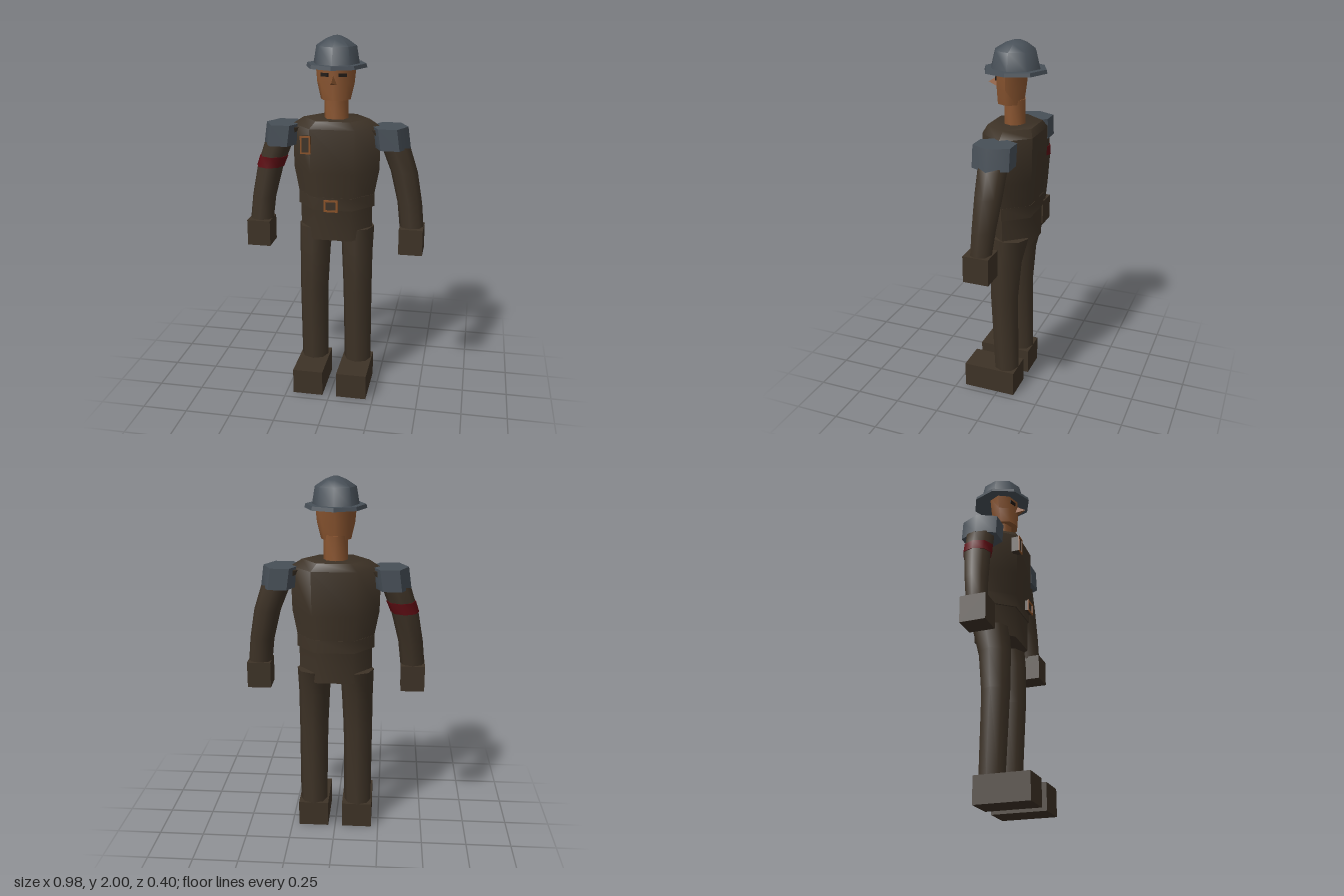
import * as THREE from 'three';
import { toCreasedNormals } from 'three/addons/utils/BufferGeometryUtils.js';

const paint = (name, color) => {
  const m = new THREE.MeshStandardMaterial({ color });
  m.name = name;
  return m;
};

// Capped body through horizontal rings [x, y, z, radiusX, radiusZ], listed bottom to top
function loft(rings, sides, crease = 0.95) {
  const pos = [], idx = [];
  rings.forEach(([x, y, z, rx, rz]) => {
    for (let i = 0; i < sides; i++) {
      const a = (i / sides) * Math.PI * 2;
      pos.push(x + rx * Math.cos(a), y, z + rz * Math.sin(a));
    }
  });
  const last = (rings.length - 1) * sides;
  for (let r = 0; r < last; r += sides) {
    for (let i = 0; i < sides; i++) {
      const j = (i + 1) % sides;
      idx.push(r + i, r + sides + i, r + sides + j, r + i, r + sides + j, r + j);
    }
  }
  for (let i = 1; i < sides - 1; i++) {
    idx.push(0, i, i + 1, last, last + i + 1, last + i);
  }
  const g = new THREE.BufferGeometry();
  g.setAttribute('position', new THREE.Float32BufferAttribute(pos, 3));
  g.setIndex(idx);
  return toCreasedNormals(g, crease);
}

// Rectangular frame plate
function frame(w, h, t, depth) {
  const s = new THREE.Shape();
  s.moveTo(-w / 2, -h / 2).lineTo(w / 2, -h / 2).lineTo(w / 2, h / 2).lineTo(-w / 2, h / 2).closePath();
  const a = w / 2 - t, b = h / 2 - t;
  const hole = new THREE.Path();
  hole.moveTo(-a, -b).lineTo(-a, b).lineTo(a, b).lineTo(a, -b).closePath();
  s.holes.push(hole);
  return new THREE.ExtrudeGeometry(s, { depth, bevelEnabled: false });
}

export function createModel() {
  const model = new THREE.Group();
  model.name = 'soldier';
  const cloth = paint('brown cloth', 0x3d3226);
  const steel = paint('blue grey steel', 0x474f57);
  const skin = paint('skin', 0x8a5530);
  const copper = paint('copper', 0x8a5228);
  const red = paint('dark red', 0x5c0c12);
  const dark = paint('dark eye', 0x1e1712);

  const add = (name, geo, mat, x = 0, y = 0, z = 0) => {
    const m = new THREE.Mesh(geo, mat);
    m.name = name;
    m.position.set(x, y, z);
    model.add(m);
    return m;
  };
  const box = (w, h, d) => new THREE.BoxGeometry(w, h, d);

  // Torso and belt
  add('torso', loft([
    [0, 0.91, -0.03, 0.2, 0.137],
    [0, 1.1, -0.03, 0.2, 0.139],
    [0, 1.29, -0.03, 0.236, 0.156],
    [0, 1.53, -0.03, 0.242, 0.16],
    [0, 1.57, -0.03, 0.18, 0.139],
  ], 6, 1.1), cloth);
  add('belt', loft([
    [0, 1.085, -0.03, 0.212, 0.146],
    [0, 1.155, -0.03, 0.212, 0.146],
  ], 6), cloth);

  // Belt buckle and chest pouch, each with a copper rim
  add('buckle', box(0.068, 0.06, 0.018), cloth, 0, 1.123, 0.131);
  add('buckleRim', frame(0.076, 0.066, 0.01, 0.006), copper, 0, 1.123, 0.138);
  add('pouch', box(0.05, 0.09, 0.045), cloth, -0.137, 1.45, 0.112);
  add('pouchRim', frame(0.056, 0.096, 0.009, 0.006), copper, -0.137, 1.45, 0.131);

  // Neck and head
  add('neck', loft([
    [0, 1.55, -0.028, 0.065, 0.058],
    [0, 1.7, -0.028, 0.065, 0.058],
  ], 8), skin);
  add('head', loft([
    [0, 1.675, -0.005, 0.08, 0.072],
    [0, 1.76, -0.01, 0.1, 0.08],
    [0, 1.86, -0.015, 0.11, 0.086],
  ], 8), skin);

  // Pointed nose: a three-sided cone aimed forward
  const nose = new THREE.ConeGeometry(0.032, 0.06, 3).toNonIndexed();
  nose.rotateX(Math.PI / 2);
  nose.rotateZ(Math.PI);
  nose.computeVertexNormals();
  const noseMesh = add('nose', nose, skin, 0, 1.775, 0.09);
  noseMesh.scale.set(0.75, 1.2, 1);
  // Keep the point of the nose triangle up
  noseMesh.geometry.computeBoundingBox();
  const bb = noseMesh.geometry.boundingBox;
  if (bb.max.y < -bb.min.y) noseMesh.rotation.z = Math.PI;

  // Eyes
  for (const s of [-1, 1]) {
    const eye = add('eye', box(0.044, 0.018, 0.008), dark, s * 0.048, 1.808, 0.058);
    eye.rotation.y = s * 0.32;
  }

  // Helmet: brim and faceted dome
  add('helmetBrim', loft([
    [0, 1.84, -0.03, 0.163, 0.172],
    [0, 1.86, -0.03, 0.158, 0.167],
  ], 8, 0.5), steel);
  add('helmetDome', loft([
    [0, 1.855, -0.03, 0.124, 0.136],
    [0, 1.95, -0.03, 0.108, 0.112],
    [0, 1.985, -0.036, 0.055, 0.06],
    [0, 2.0, -0.04, 0.018, 0.02],
  ], 8), steel);

  // Limbs, mirrored
  for (const s of [-1, 1]) {
    const side = s > 0 ? 'left' : 'right';
    add(side + 'Arm', loft([
      [s * 0.423, 0.98, -0.005, 0.066, 0.058],
      [s * 0.408, 1.12, -0.015, 0.067, 0.066],
      [s * 0.372, 1.29, -0.028, 0.073, 0.076],
      [s * 0.325, 1.42, -0.032, 0.078, 0.08],
      [s * 0.26, 1.52, -0.032, 0.085, 0.08],
    ], 8), cloth);
    add(side + 'ShoulderPad', loft([
      [s * 0.303, 1.42, -0.03, 0.1, 0.115],
      [s * 0.287, 1.535, -0.03, 0.1, 0.115],
    ], 6), steel);
    add(side + 'Hand', box(0.13, 0.145, 0.14), cloth, s * 0.425, 0.918, 0);
    add(side + 'Leg', loft([
      [s * 0.127, 0.14, -0.03, 0.077, 0.072],
      [s * 0.125, 0.6, -0.014, 0.081, 0.081],
      [s * 0.12, 0.82, -0.022, 0.087, 0.092],
      [s * 0.117, 0.965, -0.045, 0.094, 0.105],
    ], 8), cloth);
    add(side + 'Foot', box(0.17, 0.145, 0.3), cloth, s * 0.125, 0.0725, 0.05);
  }

  // Red band on the right arm
  add('armBand', loft([
    [-0.372, 1.29, -0.028, 0.077, 0.08],
    [-0.35, 1.35, -0.03, 0.0795, 0.082],
  ], 8), red);

  return model;
}
